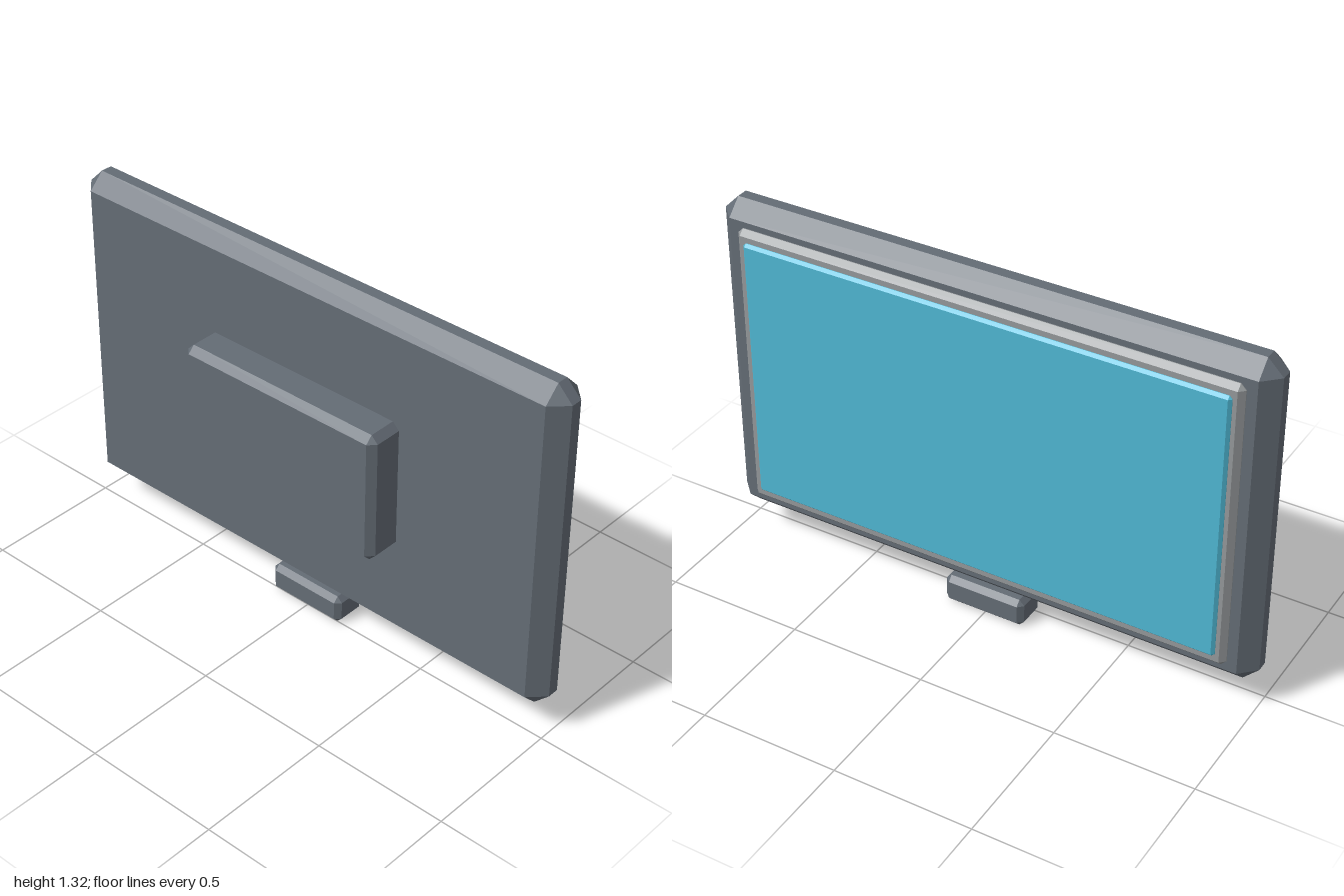
import * as THREE from 'three';
import { ConvexGeometry } from 'three/addons/geometries/ConvexGeometry.js';

// Box between two corners with every edge bevelled by c
function bevelBox(min, max, c) {
  const size = max.map((v, i) => (v - min[i]) / 2);
  const mid = max.map((v, i) => (v + min[i]) / 2);
  const points = [];
  for (const sx of [-1, 1]) for (const sy of [-1, 1]) for (const sz of [-1, 1]) {
    for (let axis = 0; axis < 3; axis++) {
      const p = [sx, sy, sz].map((s, i) => mid[i] + s * (size[i] - (i === axis ? 0 : c)));
      points.push(new THREE.Vector3(...p));
    }
  }
  return new ConvexGeometry(points);
}

export function createModel() {
  const group = new THREE.Group();
  const material = (name, color) => {
    const m = new THREE.MeshStandardMaterial({ color });
    m.name = name;
    return m;
  };
  const casing = material('slate grey casing', 0x646c75);
  const trim = material('light grey trim', 0x94989a);
  const glass = material('blue glass', 0x4fb8d4);

  const add = (name, mat, min, max, c) => {
    const mesh = new THREE.Mesh(bevelBox(min, max, c), mat);
    mesh.name = name;
    group.add(mesh);
  };

  // Main slab
  add('body', casing, [-1, 0.105, -0.121], [1, 1.32, 0.03], 0.055);
  // Raised frame and display on the -z side
  add('bezel', trim, [-0.91, 0.18, -0.143], [0.91, 1.243, -0.085], 0.019);
  add('screen', glass, [-0.877, 0.22, -0.155], [0.877, 1.204, -0.12], 0.01);
  // Block on the +z side
  add('rearHousing', casing, [-0.405, 0.472, -0.03], [0.405, 0.952, 0.155], 0.025);
  // Small foot under the slab
  add('foot', casing, [-0.152, 0, -0.11], [0.152, 0.105, 0.017], 0.019);

  return group;
}
